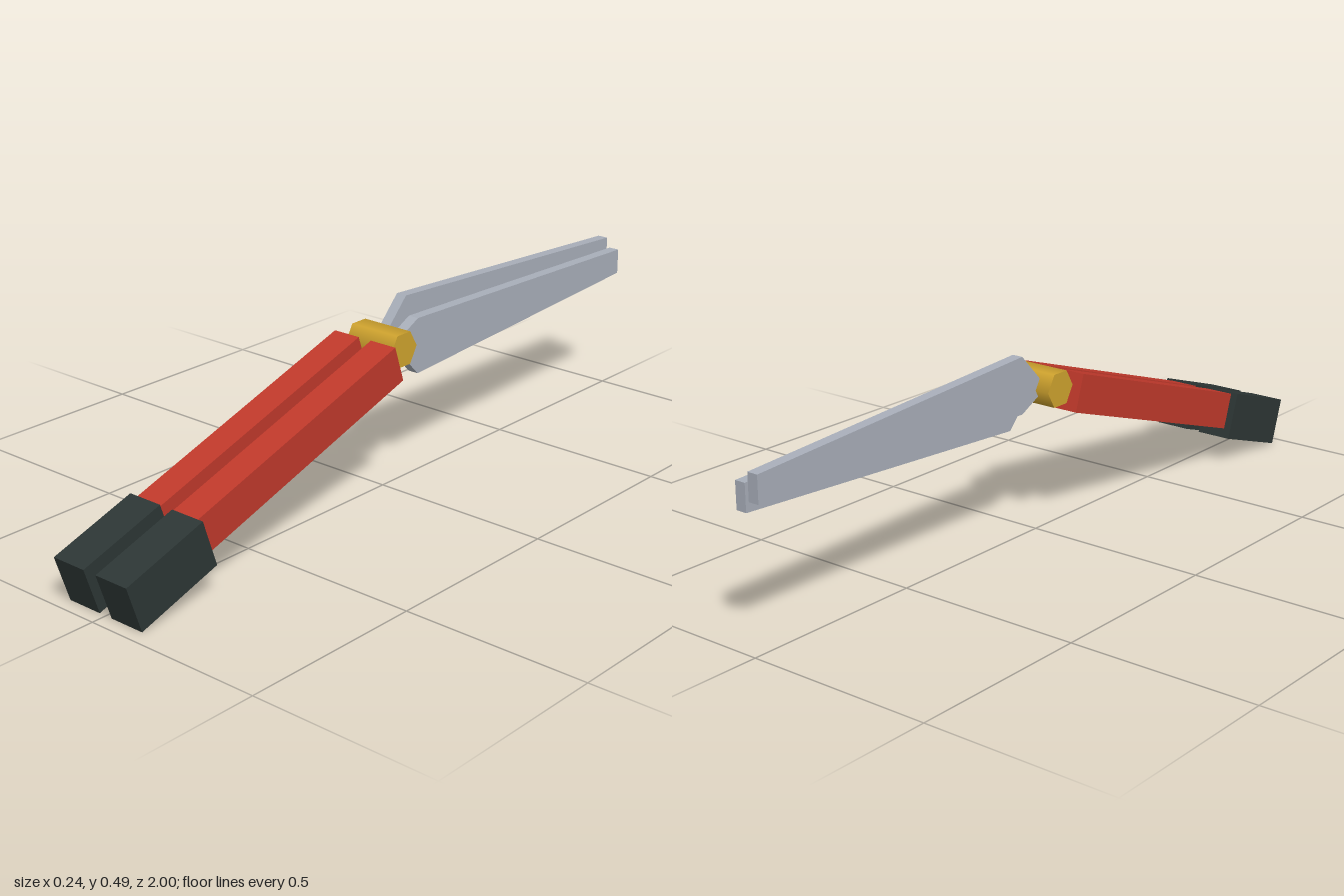
import * as THREE from 'three';

export function createModel() {
  const mat = (name, color) => {
    const m = new THREE.MeshStandardMaterial({ color });
    m.name = name;
    return m;
  };
  const red = mat('red handle', 0xc0392b);
  const dark = mat('dark rubber', 0x2d3635);
  const steel = mat('steel', 0xa9afba);
  const brass = mat('brass', 0xcfa32e);

  const root = new THREE.Group();
  root.name = 'shears';
  const add = (parent, name, geometry, material) => {
    const mesh = new THREE.Mesh(geometry, material);
    mesh.name = name;
    parent.add(mesh);
    return mesh;
  };
  const PIVOT_Y = 0.394;

  // Six-sided pivot bolt lying across the tool, flats on top and bottom
  const bolt = new THREE.CylinderGeometry(0.05, 0.05, 0.15, 6).rotateZ(Math.PI / 2);
  add(root, 'pivotBolt', bolt, brass).position.set(0, PIVOT_Y, 0.006);

  for (const side of [1, -1]) {
    const label = side > 0 ? 'left' : 'right';

    // Blade: pointed root, wide shoulder, long taper; the two are flipped copies
    const outline = [[0, 0], [0.097, -0.049], [1, -0.021], [1, 0.049], [0.097, 0.101]];
    const shape = new THREE.Shape(outline.map(([u, v]) => new THREE.Vector2(u, -side * v)));
    const bladeGeo = new THREE.ExtrudeGeometry(shape, { depth: 0.03, bevelEnabled: false });
    bladeGeo.translate(0, 0, -0.015).rotateY(Math.PI / 2);
    add(root, label + 'Blade', bladeGeo, steel).position.set(side * 0.02, PIVOT_Y, 0);

    // Handle sloping down to the front, with a thicker grip at its end
    const handle = new THREE.Group();
    handle.name = label + 'Handle';
    handle.position.set(0, 0.102, 0.861);
    handle.rotation.x = Math.PI / 10;
    root.add(handle);
    add(handle, label + 'HandleBar', new THREE.BoxGeometry(0.08, 0.1, 0.728), red)
      .position.set(side * 0.06, 0.011, -0.489);
    add(handle, label + 'Grip', new THREE.BoxGeometry(0.1, 0.13, 0.25), dark)
      .position.set(side * 0.07, 0, 0);
  }
  return root;
}
